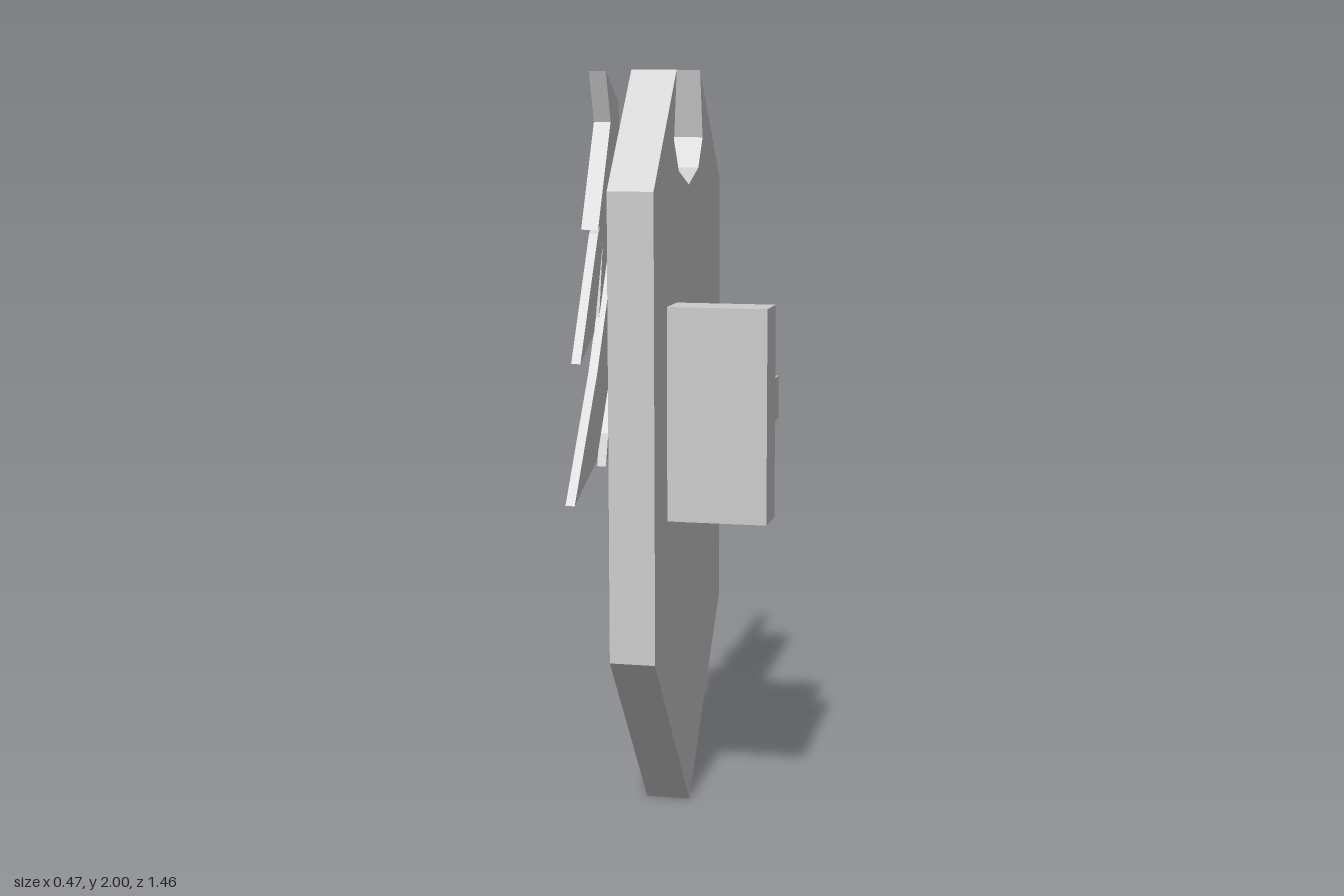
import * as THREE from 'three';

export function createModel() {
  const root = new THREE.Group();
  const grey = new THREE.MeshStandardMaterial({ color: 0xcccccc, flatShading: true });
  grey.name = 'plain grey';

  const add = (name, geo) => {
    const mesh = new THREE.Mesh(geo, grey);
    mesh.name = name;
    root.add(mesh);
    return mesh;
  };

  // Plate drawn as (z, y) points, filling x from x0 to x1
  const plate = (name, pts, x0, x1) => {
    const shape = new THREE.Shape(pts.map(([z, y]) => new THREE.Vector2(z, y)));
    const geo = new THREE.ExtrudeGeometry(shape, { depth: x1 - x0, bevelEnabled: false });
    geo.rotateY(-Math.PI / 2).translate(x1, 0, 0);
    return add(name, geo);
  };

  // Full outline from one half, whose first and last points lie on the centre line
  const mirrored = (half) =>
    half.concat(half.slice(1, -1).reverse().map(([z, y]) => [-z, y]));

  // Four-sided pyramid pointing away from the shield face
  const stud = (name, y, z, halfH, halfW, xTip, xBase) => {
    const geo = new THREE.ConeGeometry(1, 1, 4);
    geo.rotateZ(Math.PI / 2).scale(xBase - xTip, halfH, halfW);
    geo.translate((xTip + xBase) / 2, y, z);
    add(name, geo);
  };

  // Shield body with a notched top and pointed foot
  plate('shieldBody', mirrored([
    [0, 1.7], [0.12, 1.74], [0.175, 1.82], [0.143, 2], [0.405, 1.7], [0.405, 0.49], [0, 0],
  ]), -0.147, -0.027);

  // Grip and arm bar behind the shield
  const box = (name, x0, x1, y0, y1, z0, z1) => {
    const geo = new THREE.BoxGeometry(x1 - x0, y1 - y0, z1 - z0);
    add(name, geo.translate((x0 + x1) / 2, (y0 + y1) / 2, (z0 + z1) / 2));
  };
  box('gripBlock', -0.027, 0.235, 0.84, 1.4, 0.145, 0.262);
  box('armBar', -0.027, 0.173, 1.04, 1.16, -0.255, 0.145);

  // Horned crest on the shield face
  plate('crest', mirrored([
    [0, 1.64], [0.08, 1.64], [0.275, 1.86], [0.28, 1.92], [0.405, 1.995], [0.36, 1.87],
    [0.49, 1.61], [0.36, 1.66], [0.25, 1.54], [0.285, 1.43], [0.2, 1.4], [0.12, 1.44],
    [0.045, 1.36], [0.05, 1.28], [0, 1.257],
  ]), -0.19, -0.147);

  // Diamond above the crest, with a small notch below
  plate('crestDiamond', mirrored([
    [0, 1.84], [0.08, 1.77], [0.02, 1.71], [0.02, 1.64], [0, 1.735],
  ]), -0.19, -0.15);

  // Layered feathers on both sides
  const feathers = {
    upperFeather: [[0.3, 1.68], [0.43, 1.65], [0.49, 1.6], [0.665, 1.3], [0.535, 1.36], [0.43, 1.61]],
    innerFeather: [[0.34, 1.66], [0.43, 1.64], [0.485, 1.395], [0.38, 1.57]],
    lowerFeather: [[0.2, 1.52], [0.3, 1.58], [0.405, 1.43], [0.51, 1.255], [0.728, 0.965],
      [0.52, 1.04], [0.38, 1.24], [0.25, 1.4]],
    shortFeather: [[0.13, 1.45], [0.22, 1.45], [0.29, 1.29], [0.405, 1.09], [0.43, 1.01],
      [0.3, 1.12], [0.18, 1.27]],
  };
  for (const [name, pts] of Object.entries(feathers)) {
    for (const side of [1, -1]) {
      plate(name, pts.map(([z, y]) => [z * side, y]), -0.17, -0.147);
    }
  }

  // Gems on the crest
  stud('centreGem', 1.495, 0, 0.165, 0.08, -0.24, -0.185);
  for (const side of [1, -1]) stud('sideGem', 1.62, side * 0.165, 0.045, 0.035, -0.225, -0.185);

  // Pointed crystal at the top
  const profile = [[0, 1.8], [0.038, 1.86], [0, 1.98]].map(([r, y]) => new THREE.Vector2(r, y));
  add('topCrystal', new THREE.LatheGeometry(profile, 4)).position.x = -0.17;

  return root;
}
